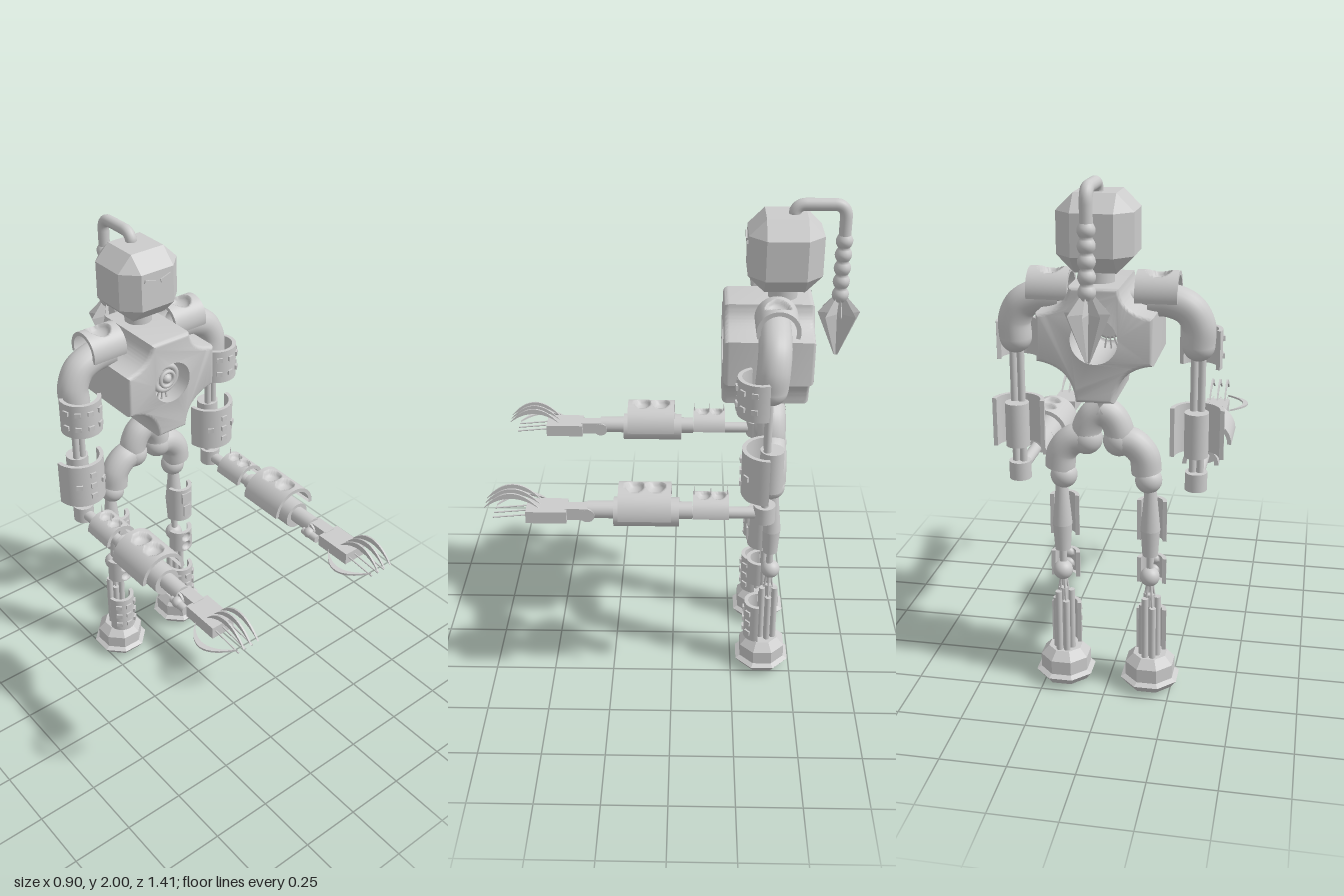
import * as THREE from 'three';
import { toCreasedNormals } from 'three/addons/utils/BufferGeometryUtils.js';
import { ConvexGeometry } from 'three/addons/geometries/ConvexGeometry.js';

const PI = Math.PI;
const smooth = new THREE.MeshStandardMaterial({ color: 0xcccccc, side: THREE.DoubleSide });
const flat = new THREE.MeshStandardMaterial({ color: 0xcccccc, side: THREE.DoubleSide, flatShading: true });
const V = (x, y, z) => new THREE.Vector3(x, y, z);

function add(parent, name, geo, x = 0, y = 0, z = 0, mat = smooth) {
  const m = new THREE.Mesh(geo, mat);
  m.name = name;
  m.position.set(x, y, z);
  parent.add(m);
  return m;
}
function group(parent, name, x = 0, y = 0, z = 0) {
  const g = new THREE.Group();
  g.name = name;
  g.position.set(x, y, z);
  parent.add(g);
  return g;
}
const box = (w, h, d) => new THREE.BoxGeometry(w, h, d);
const ball = r => new THREE.SphereGeometry(r, 24, 16);
const cyl = (rt, rb, h, n = 24) => new THREE.CylinderGeometry(rt, rb, h, n);
// upright cylinder between two heights
const post = (p, name, r, y0, y1, x, z, r2 = r) => add(p, name, cyl(r2, r, y1 - y0), x, (y0 + y1) / 2, z);
// cylinder lying along z
function rodZ(p, name, r, z0, z1, x, y) {
  const m = add(p, name, cyl(r, r, z1 - z0), x, y, (z0 + z1) / 2);
  m.rotation.x = PI / 2;
  return m;
}
const tube = (pts, r, n = 40) => new THREE.TubeGeometry(new THREE.CatmullRomCurve3(pts), n, r, 18);

// curved armour shell around y, facing +z: dents are [height, radius], buttons are [angle, height, size]
function plate(parent, name, r, len, arc, x, y, z, dents = [], buttons = []) {
  const g = group(parent, name, x, y, z), t = 0.016;
  const outer = new THREE.CylinderGeometry(r, r, len, 48, 36, true, -arc / 2, arc);
  const p = outer.attributes.position;
  for (let i = 0; i < p.count; i++) {
    const px = p.getX(i), py = p.getY(i), pz = p.getZ(i);
    for (const [dy, dr] of dents) {
      const q = dr * dr - px * px - (py - dy) ** 2;
      if (q > 0 && pz > 0) p.setZ(i, pz - 0.8 * Math.sqrt(q));
    }
  }
  outer.computeVertexNormals();
  add(g, 'plateOuter', outer);
  if (!dents.length) add(g, 'plateInner', new THREE.CylinderGeometry(r - t, r - t, len, 32, 1, true, -arc / 2, arc));
  for (const s of [-1, 1]) {
    add(g, 'plateRim', new THREE.RingGeometry(r - t, r, 32, 1, -PI / 2 - arc / 2, arc), 0, s * len / 2, 0).rotation.x = -PI / 2;
    const e = s * arc / 2;
    add(g, 'plateEdge', new THREE.PlaneGeometry(t, len), Math.sin(e) * (r - t / 2), 0, Math.cos(e) * (r - t / 2)).rotation.y = e - PI / 2;
  }
  for (const [a, by, w] of buttons)
    add(g, 'button', box(w, w * 0.8, 0.014), Math.sin(a) * r, by, Math.cos(a) * r).rotation.y = a;
  return g;
}

// thin curved claw: extruded crescent, bowed towards +y, running along x
function crescent(len, rise, thick, depth) {
  const s = new THREE.Shape();
  s.moveTo(-len / 2, 0);
  s.quadraticCurveTo(0, rise * 2, len / 2, 0);
  s.quadraticCurveTo(0, (rise - thick) * 2, -len / 2, 0);
  return new THREE.ExtrudeGeometry(s, { depth, bevelEnabled: false, curveSegments: 16 });
}

function buildHead(root) {
  const g = group(root, 'head', 0.02, 1.81, -0.41), a = 0.075, b = 0.137, pts = [];
  for (const i of [-1, 1]) for (const j of [-1, 1]) for (const k of [-1, 1])
    pts.push(V(i * b, j * a, k * a), V(i * a, j * b, k * a), V(i * a, j * a, k * b));
  add(g, 'skull', new ConvexGeometry(pts), 0, 0, 0, flat);
  for (const s of [-1, 1]) add(g, 'eyeSlit', box(0.052, 0.014, 0.012), s * 0.037, 0.04, b).rotation.z = s * 0.32;
  add(g, 'neck', cyl(0.055, 0.055, 0.14), 0, -0.18, 0);

  // hanging tail: bent pipe, beaded braid and spiked tip
  const c = new THREE.CurvePath();
  c.add(new THREE.LineCurve3(V(0, 0.1, -0.03), V(0, 0.145, -0.03)));
  c.add(new THREE.QuadraticBezierCurve3(V(0, 0.145, -0.03), V(0, 0.17, -0.04), V(0, 0.17, -0.07)));
  c.add(new THREE.LineCurve3(V(0, 0.17, -0.07), V(0, 0.17, -0.17)));
  c.add(new THREE.QuadraticBezierCurve3(V(0, 0.17, -0.17), V(0, 0.17, -0.215), V(0, 0.12, -0.215)));
  c.add(new THREE.LineCurve3(V(0, 0.12, -0.215), V(0, 0.05, -0.215)));
  add(g, 'tailPipe', new THREE.TubeGeometry(c, 60, 0.023, 16));
  const prof = [];
  for (let i = 0; i <= 40; i++) prof.push(new THREE.Vector2(0.021 + 0.011 * Math.abs(Math.sin(i / 40 * PI * 5)), -0.2 + i / 40 * 0.26));
  add(g, 'tailBraid', new THREE.LatheGeometry(prof, 16), 0, 0, -0.215);
  const tip = new THREE.LatheGeometry([[0.008, -0.42], [0.08, -0.245], [0.014, -0.17]].map(q => new THREE.Vector2(...q)), 16);
  const tp = tip.attributes.position;
  for (let i = 0; i < tp.count; i++) {
    const k = Math.round(Math.atan2(tp.getX(i), tp.getZ(i)) / (PI / 8));
    if (k % 2) { tp.setX(i, tp.getX(i) * 0.32); tp.setZ(i, tp.getZ(i) * 0.32); }
  }
  add(g, 'tailTip', tip, 0, 0, -0.215, flat);
}

function buildTorso(root) {
  const g = group(root, 'torso', 0.02, 0, 0), s = new THREE.Shape();
  s.moveTo(-0.09, 1.63);
  s.lineTo(0.09, 1.63);
  s.quadraticCurveTo(0.1, 1.545, 0.21, 1.53);
  s.lineTo(0.21, 1.355);
  s.quadraticCurveTo(0.08, 1.34, 0.07, 1.21);
  s.lineTo(-0.07, 1.21);
  s.quadraticCurveTo(-0.08, 1.34, -0.21, 1.355);
  s.lineTo(-0.21, 1.53);
  s.quadraticCurveTo(-0.1, 1.545, -0.09, 1.63);
  const hole = new THREE.Path();
  hole.absarc(0, 1.44, 0.1, 0, PI * 2, true);
  s.holes.push(hole);
  const geo = new THREE.ExtrudeGeometry(s, { depth: 0.295, bevelSize: 0.015, bevelThickness: 0.02, bevelOffset: -0.015, bevelSegments: 4, curveSegments: 24 });
  add(g, 'chestShell', toCreasedNormals(geo, 0.6), 0, 0, -0.505);
  // core floating in the chest opening
  add(g, 'coreRing', new THREE.TorusGeometry(0.052, 0.013, 12, 32), 0, 1.44, -0.24);
  add(g, 'coreRing', new THREE.TorusGeometry(0.032, 0.008, 12, 32), 0, 1.44, -0.225);
  add(g, 'coreDisc', cyl(0.05, 0.05, 0.02), 0, 1.44, -0.25).rotation.x = PI / 2;
  add(g, 'coreBall', ball(0.02), 0, 1.44, -0.23);
  for (const a of [0.9, 1.2, 4.1, 4.35, 4.6, 4.85])
    add(g, 'coreSpoke', box(0.06, 0.006, 0.006), Math.cos(a) * 0.08, 1.44 + Math.sin(a) * 0.08, -0.25).rotation.z = a;
  add(g, 'shoulderBar', cyl(0.024, 0.024, 0.52), 0, 1.565, -0.37).rotation.z = PI / 2;
}

function buildArm(root, s) {
  const g = group(root, 'arm', 0.008, 0, 0), X = s * 0.338;
  add(g, 'shoulderPipe', tube([V(s * 0.16, 1.565, -0.375), V(s * 0.24, 1.56, -0.372), V(s * 0.305, 1.53, -0.37), V(X, 1.47, -0.365), V(X, 1.4, -0.36)], 0.061));
  add(g, 'shoulderBall', ball(0.06), X, 1.4, -0.36);
  const pad = plate(g, 'shoulderPad', 0.08, 0.15, PI * 1.2, s * 0.195, 1.59, -0.382, [[0, 0.045]]);
  pad.rotation.set(-PI / 2, -PI / 2, 0, 'YXZ');
  const b = [];
  for (const a of [-0.9, -0.3, 0.3, 0.9]) b.push([a, 0.035, 0.024], [a, -0.03, 0.024]);
  plate(g, 'upperArmPlate', 0.083, 0.145, PI, X, 1.378, -0.32, [], b).rotation.y = s * 0.4;
  for (const d of [-1, 1]) post(g, 'upperArmRod', 0.014, 0.9, 1.4, X + d * 0.014, -0.355);
  post(g, 'elbowSleeve', 0.045, 0.98, 1.15, X, -0.375);
  plate(g, 'elbowPlate', 0.1, 0.19, PI, X, 1.06, -0.362, [], [[0, 0, 0.026], [-0.6, 0, 0.026], [0.6, 0, 0.026], [0, 0.05, 0.026], [0, -0.05, 0.026]]);
  post(g, 'elbowJoint', 0.042, 0.84, 0.91, X, -0.355);

  // forearm stretched forward
  const f = group(g, 'forearm', X, 0.872, 0);
  rodZ(f, 'forearmRod', 0.023, -0.36, -0.08, 0, 0);
  rodZ(f, 'forearmRod', 0.034, -0.08, 0.32, 0, 0.008);
  rodZ(f, 'forearmSleeve', 0.056, -0.03, 0.22, 0, 0);
  plate(f, 'wristGuard', 0.1, 0.2, PI, 0, 0.018, 0.1, [[-0.04, 0.037], [0.04, 0.037]]).rotation.set(PI / 2, PI, 0);
  plate(f, 'elbowGuard', 0.07, 0.136, PI, 0, 0.012, -0.15, [[-0.028, 0.027], [0.028, 0.027]]).rotation.set(PI / 2, PI, 0);
  for (const z of [-0.213, -0.15, -0.087]) add(f, 'guardSpike', new THREE.ConeGeometry(0.005, 0.06, 8), 0, 0.09, z);

  // hand, the same way round on both arms
  const h = group(f, 'hand', 0.006, 0, 0);
  rodZ(h, 'wristKnob', 0.016, 0.3, 0.38, -0.04, -0.01);
  add(h, 'wristKnobEnd', ball(0.022), -0.04, -0.005, 0.33);
  add(h, 'wristBlock', box(0.05, 0.05, 0.09), 0.004, 0.005, 0.36);
  add(h, 'knuckle', cyl(0.028, 0.028, 0.06), 0, 0, 0.32).rotation.z = PI / 2;
  add(h, 'palm', box(0.1, 0.05, 0.155), 0, 0.003, 0.475);
  for (const x of [-0.033, 0, 0.033]) {
    add(h, 'finger', crescent(0.21, 0.065, 0.022, 0.007), x + 0.003, 0.035, 0.605).rotation.y = -PI / 2;
    rodZ(h, 'fingerWire', 0.003, 0.54, 0.68, x, 0).rotation.x = PI / 2 + 0.1;
  }
  const thumb = add(h, 'thumb', crescent(0.21, 0.085, 0.022, 0.008), -0.047, 0.008, 0.57);
  thumb.rotation.set(PI / 2, 0, PI / 2 - 0.12);
}

function buildLeg(root, s) {
  const g = group(root, 'leg', 0.004, 0, 0), X = s * 0.17;
  const hx = v => 0.012 + s * v;
  add(g, 'hipPipe', tube([V(hx(-0.01), 1.15, -0.39), V(hx(0.035), 1.12, -0.39), V(hx(0.06), 1.07, -0.39), V(hx(0.062), 1.03, -0.39)], 0.056));
  add(g, 'hipBall', ball(0.061), hx(0.062), 1.03, -0.39);
  add(g, 'thighPipe', tube([V(hx(0.06), 1.035, -0.39), V(hx(0.115), 1.02, -0.39), V(hx(0.155), 0.975, -0.39), V(hx(0.165), 0.91, -0.39)], 0.057));
  add(g, 'kneeBall', ball(0.051), X * 0.95, 0.88, -0.395);
  // knee to shin
  post(g, 'shinCone', 0.038, 0.68, 0.85, X, -0.4, 0.022);
  post(g, 'shinTube', 0.03, 0.575, 0.68, X, -0.4, 0.037);
  post(g, 'shinRod', 0.014, 0.42, 0.58, X, -0.4);
  const kp = plate(g, 'kneePlate', 0.057, 0.165, PI, X, 0.698, -0.362);
  add(kp, 'platePanel', box(0.05, 0.05, 0.012), 0, 0.04, 0.055);
  add(kp, 'platePanel', box(0.034, 0.055, 0.012), 0, -0.03, 0.056);
  plate(g, 'shinPlate', 0.057, 0.105, PI, X, 0.488, -0.362, [[-0.024, 0.021], [0.024, 0.021]]);
  add(g, 'shinBall', ball(0.038), X, 0.485, -0.405);
  // splayed cables into a bundle of pipes
  for (let i = 0; i < 6; i++) {
    const a = i * PI / 3, cx = Math.cos(a), cz = Math.sin(a);
    add(g, 'cable', tube([V(X + cx * 0.01, 0.46, -0.4 + cz * 0.01), V(X + cx * 0.016, 0.42, -0.4 + cz * 0.016), V(X + cx * 0.028, 0.34, -0.4 + cz * 0.028)], 0.004, 8));
    post(g, 'anklePipe', 0.013, 0.12, i % 2 ? 0.4 : 0.36, X + cx * 0.03, -0.4 + cz * 0.03);
  }
  post(g, 'ankleCore', 0.02, 0.12, 0.41, X, -0.4);
  const b = [];
  for (const y of [0.05, 0, -0.05]) for (const a of [-0.75, 0, 0.75]) b.push([a, y, 0.026]);
  plate(g, 'anklePlate', 0.059, 0.175, PI, X, 0.232, -0.362, [], b);
  // faceted foot
  const prof = [[0, 0.005], [0.07, 0.002], [0.095, 0.014], [0.119, 0.045], [0.1, 0.056], [0.1, 0.112], [0.068, 0.145], [0, 0.145]];
  add(g, 'foot', new THREE.LatheGeometry(prof.map(q => new THREE.Vector2(...q)), 8, PI / 8), X, 0, -0.382, flat);
}

export function createModel() {
  const root = new THREE.Group();
  root.name = 'robot';
  buildHead(root);
  buildTorso(root);
  for (const s of [-1, 1]) {
    buildArm(root, s);
    buildLeg(root, s);
  }
  return root;
}
